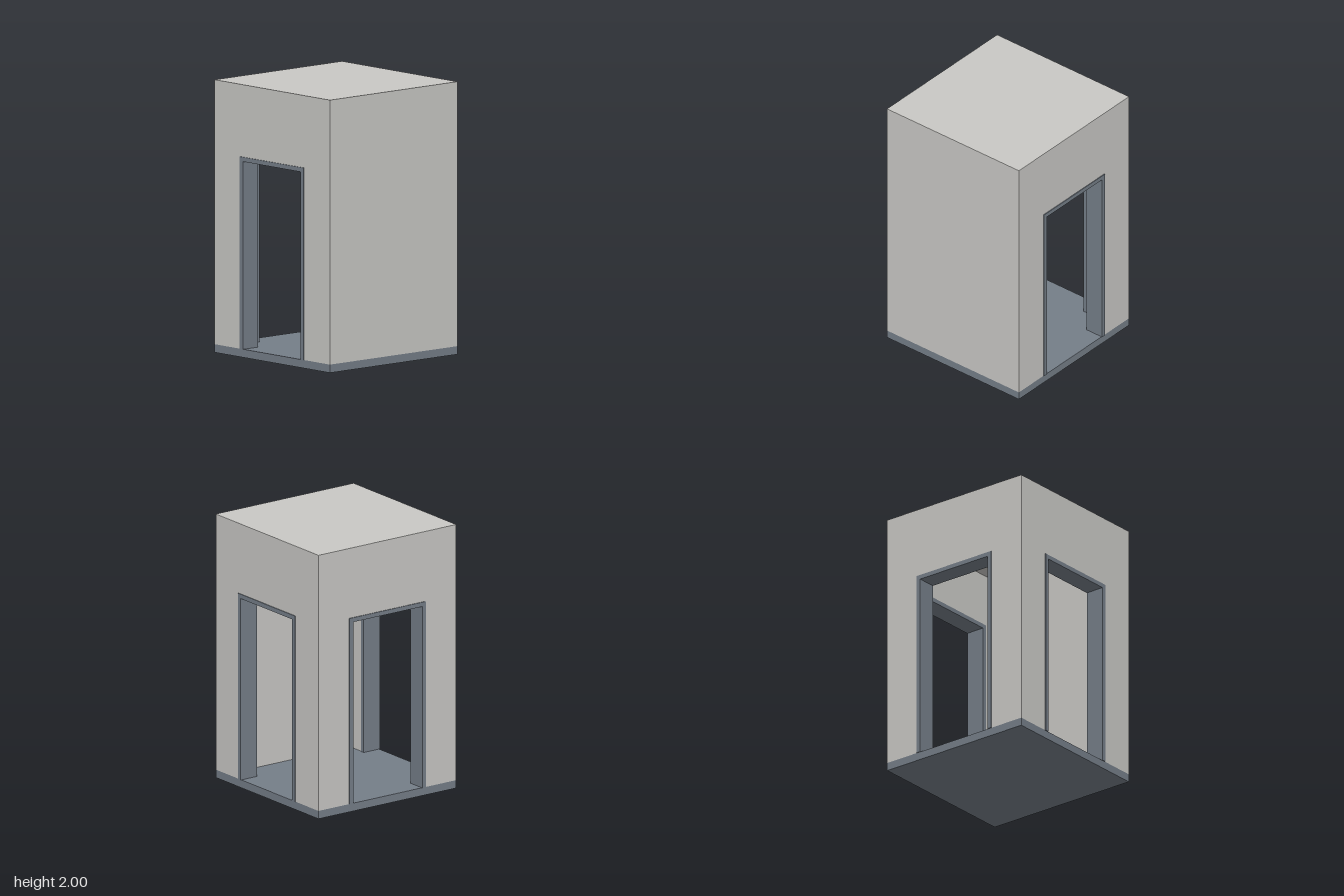
import * as THREE from 'three';

const H = 0.622;        // half width of the room
const T = 0.135;        // wall thickness
const P = 0.006;        // how far the door frames stand proud
const FLOOR = 0.06, TOP = 2, CEILING = TOP - T;
const DOOR = { half: 0.345, top: 1.47, trim: 0.033 };

const plaster = new THREE.MeshStandardMaterial({ color: 0xc9c8c5 });
plaster.name = 'warm grey plaster';
const slate = new THREE.MeshStandardMaterial({ color: 0x757e88 });
slate.name = 'slate grey';

function add(parent, name, geometry, material) {
  const mesh = new THREE.Mesh(geometry, material);
  mesh.name = name;
  parent.add(mesh);
  return mesh;
}

// Upright outline, with a doorway notch rising from the bottom edge if wanted
function outline(half, top, doorHalf, doorTop) {
  const s = new THREE.Shape();
  s.moveTo(-half, FLOOR);
  if (doorHalf) {
    s.lineTo(-doorHalf, FLOOR);
    s.lineTo(-doorHalf, doorTop);
    s.lineTo(doorHalf, doorTop);
    s.lineTo(doorHalf, FLOOR);
  }
  s.lineTo(half, FLOOR);
  s.lineTo(half, top);
  s.lineTo(-half, top);
  s.closePath();
  return s;
}

// One wall facing local +z: outer skin, inner skin and an optional door frame
function makeWall(name, hasDoor) {
  const wall = new THREE.Group();
  wall.name = name;
  const doorHalf = hasDoor ? DOOR.half : 0;
  const outer = new THREE.ShapeGeometry(outline(H, TOP, doorHalf, DOOR.top));
  add(wall, 'outerWallFace', outer, plaster).position.z = H;
  const inner = new THREE.ShapeGeometry(outline(H - T, CEILING, doorHalf, DOOR.top));
  const innerMesh = add(wall, 'innerWallFace', inner, plaster);
  innerMesh.rotation.y = Math.PI;
  innerMesh.position.z = H - T;
  if (hasDoor) {
    // Frame lines the full depth of the opening
    const ring = outline(DOOR.half, DOOR.top, DOOR.half - DOOR.trim, DOOR.top - DOOR.trim);
    const frame = new THREE.ExtrudeGeometry(ring, { depth: T + 2 * P, bevelEnabled: false });
    add(wall, 'doorFrame', frame, slate).position.z = H - T - P;
  }
  return wall;
}

export function createModel() {
  const model = new THREE.Group();
  model.name = 'room';
  const body = new THREE.Group();
  body.name = 'roomBody';
  body.position.z = P / 2;   // only the back has a projecting frame
  model.add(body);

  // Floor slab
  add(body, 'floorSlab', new THREE.BoxGeometry(2 * H, FLOOR, 2 * H), slate).position.y = FLOOR / 2;

  // Solid front, doorways on the other three sides
  ['frontWall', 'leftWall', 'backWall', 'rightWall'].forEach((name, i) => {
    const wall = makeWall(name, i > 0);
    wall.rotation.y = i * Math.PI / 2;
    body.add(wall);
  });

  // Flat roof and the ceiling below it
  const roof = add(body, 'roof', new THREE.PlaneGeometry(2 * H, 2 * H), plaster);
  roof.rotation.x = -Math.PI / 2;
  roof.position.y = TOP;
  const ceiling = add(body, 'ceiling', new THREE.PlaneGeometry(2 * (H - T), 2 * (H - T)), plaster);
  ceiling.rotation.x = Math.PI / 2;
  ceiling.position.y = CEILING;

  return model;
}
